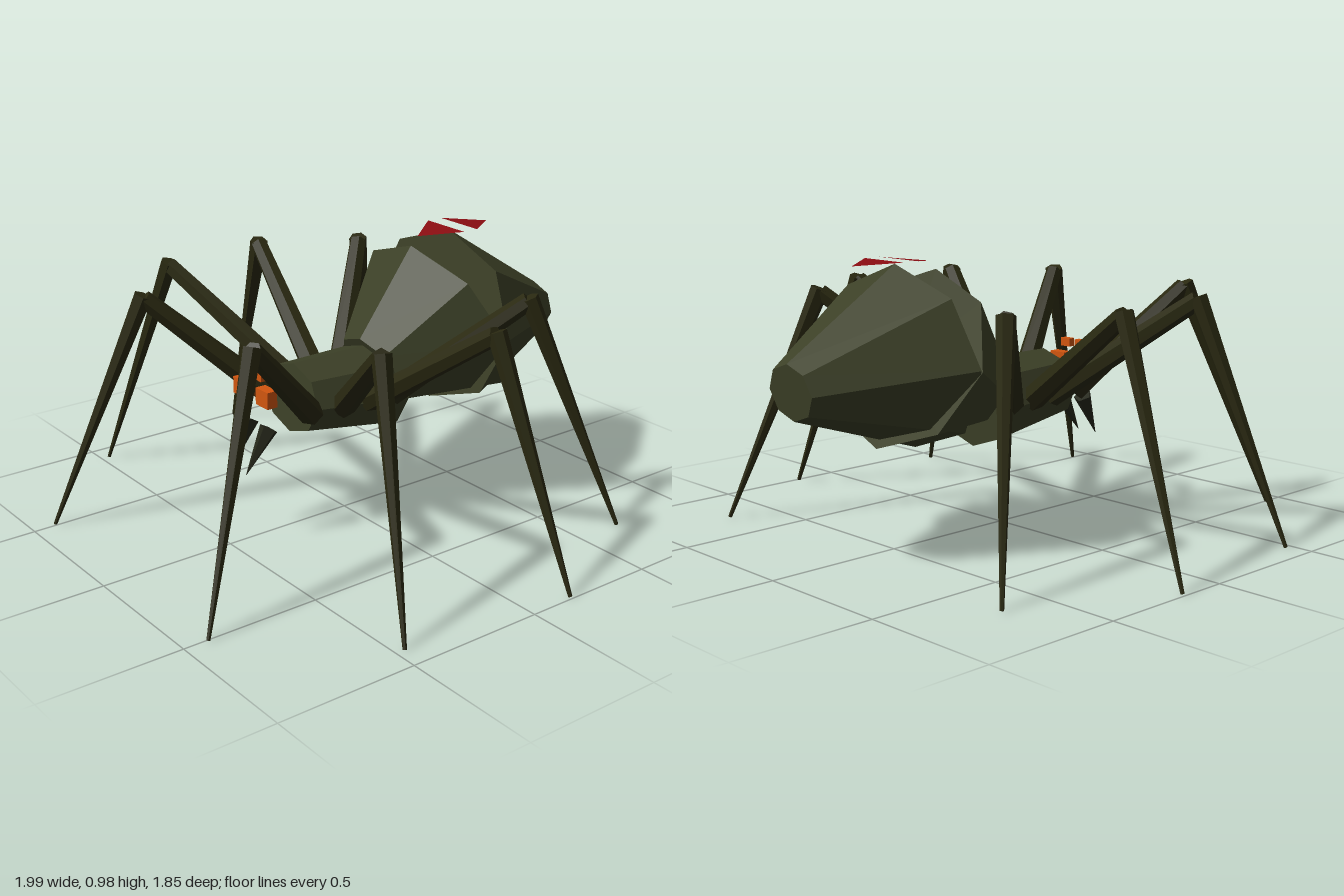
import * as THREE from 'three';

const mat = (name, color, side = THREE.FrontSide) =>
  new THREE.MeshStandardMaterial({ name, color, side, flatShading: true });

const V = (x, y, z) => new THREE.Vector3(x, y, z);
const UP = V(0, 1, 0);

// Faceted tapered prism running from a to b, optionally widened across x
function taper(name, a, b, ra, rb, sides, material, widen = 1) {
  const axis = b.clone().sub(a);
  const geo = new THREE.CylinderGeometry(rb, ra, axis.length(), sides);
  geo.scale(widen, 1, 1);
  const mesh = new THREE.Mesh(geo, material);
  mesh.name = name;
  mesh.quaternion.setFromUnitVectors(UP, axis.normalize());
  mesh.position.copy(a).add(b).multiplyScalar(0.5);
  return mesh;
}

function box(name, w, h, d, x, y, z, material) {
  const mesh = new THREE.Mesh(new THREE.BoxGeometry(w, h, d), material);
  mesh.name = name;
  mesh.position.set(x, y, z);
  return mesh;
}

function triangle(name, a, b, c, material) {
  const geo = new THREE.BufferGeometry().setFromPoints([a, b, c]);
  geo.computeVertexNormals();
  const mesh = new THREE.Mesh(geo, material);
  mesh.name = name;
  return mesh;
}

export function createModel() {
  const body = mat('olive shell', 0x3c4027);
  const legMat = mat('dark leg', 0x2a2911);
  const fangMat = mat('fang', 0x25271a);
  const eyeMat = mat('orange eye', 0xd2560f);
  const red = mat('red marking', 0x8b0d12, THREE.DoubleSide);

  const model = new THREE.Group();
  model.name = 'spider';

  // Body: thorax and the two halves of the abdomen
  model.add(
    taper('thorax', V(0, 0.455, -0.145), V(0, 0.485, 0.23), 0.155, 0.125, 8, body, 1.22),
    taper('frontAbdomen', V(0, 0.508, -0.13), V(0, 0.65, -0.435), 0.141, 0.32, 8, body, 1.17),
    taper('rearAbdomen', V(0, 0.655, -0.44), V(0, 0.595, -0.912), 0.318, 0.095, 8, body, 1.18),
  );

  // Hourglass marking on the back
  model.add(
    triangle('frontMarking', V(-0.1, 0.985, -0.465), V(0, 0.97, -0.33), V(0.1, 0.985, -0.465), red),
    triangle('rearMarking', V(-0.1, 0.985, -0.525), V(0.1, 0.985, -0.525), V(0, 0.975, -0.66), red),
  );

  // Legs: hip, knee and foot for each pair
  const legs = [
    [[0.13, 0.47, 0.24], [0.33, 0.835, 0.61], [0.507, 0.003, 0.915]],
    [[0.14, 0.47, 0.11], [0.62, 0.835, 0.33], [0.917, 0.003, 0.468]],
    [[0.15, 0.47, 0.01], [0.67, 0.83, -0.1], [0.99, 0.003, -0.17]],
    [[0.15, 0.47, -0.09], [0.475, 0.83, -0.43], [0.717, 0.003, -0.68]],
  ];

  for (const s of [1, -1]) {
    const side = s > 0 ? 'left' : 'right';
    legs.forEach((points, i) => {
      const [hip, knee, foot] = points.map(([x, y, z]) => V(x * s, y, z));
      const leg = new THREE.Group();
      leg.name = `${side}Leg${i + 1}`;
      leg.add(
        taper('upperLeg', hip, knee, 0.045, 0.032, 6, legMat),
        taper('lowerLeg', knee.clone().add(V(0, 0.012, 0)), foot, 0.034, 0.007, 6, legMat),
      );
      model.add(leg);
    });

    // Eyes and fangs
    model.add(
      box(`${side}MainEye`, 0.07, 0.06, 0.04, 0.068 * s, 0.543, 0.382, eyeMat),
      box(`${side}SmallEye`, 0.044, 0.03, 0.026, 0.035 * s, 0.612, 0.382, eyeMat),
      taper(`${side}Fang`, V(0.058 * s, 0.422, 0.368), V(0.044 * s, 0.268, 0.455), 0.034, 0.001, 5, fangMat),
    );
  }
  return model;
}
